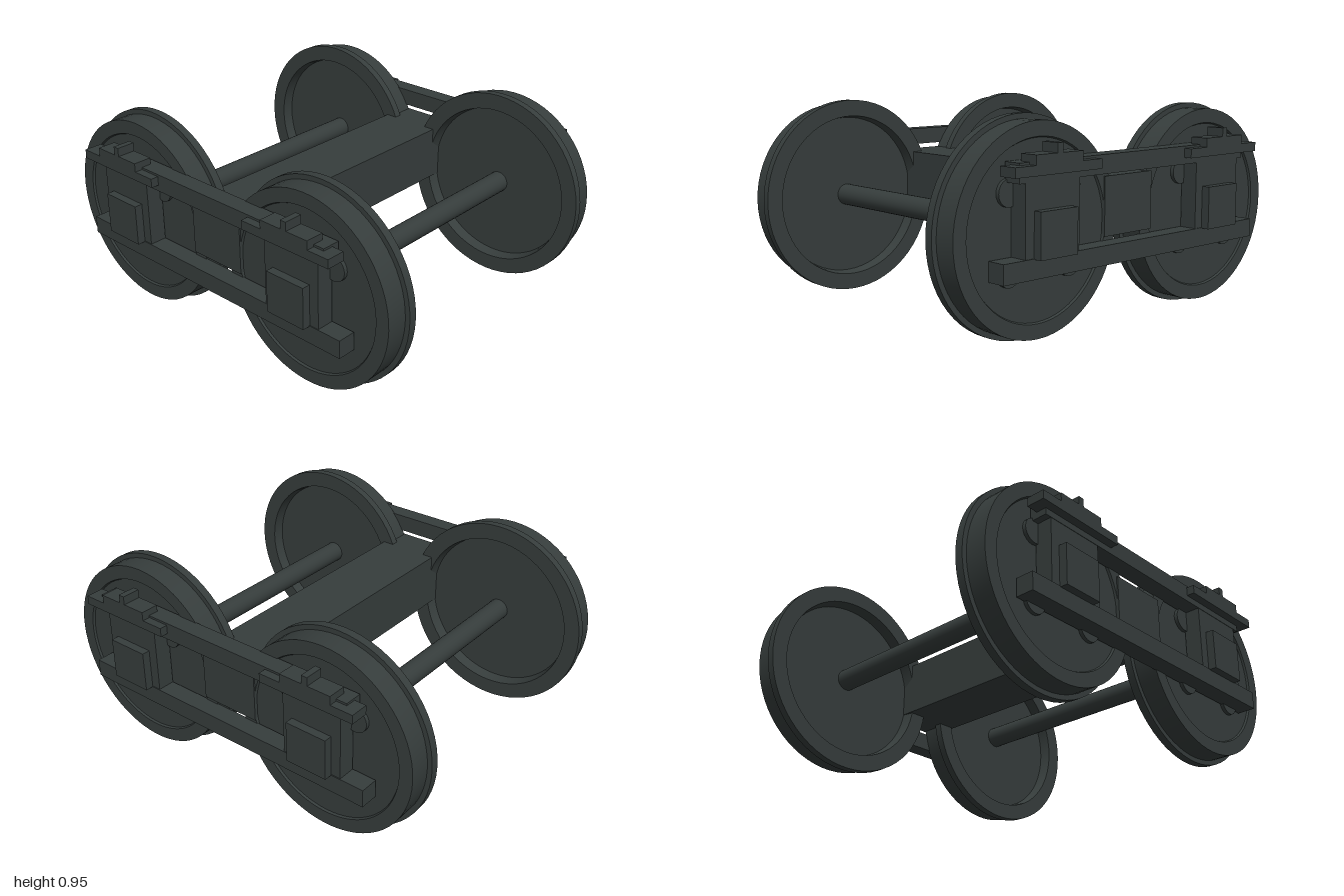
import * as THREE from 'three';
import { toCreasedNormals } from 'three/addons/utils/BufferGeometryUtils.js';

const AXLE_X = 0.527, AXLE_Y = 0.475;

export function createModel() {
  const darkIron = new THREE.MeshStandardMaterial({ color: 0x363d3c });
  const model = new THREE.Group();
  model.name = 'railTruck';

  const add = (parent, name, geometry, x = 0, y = 0, z = 0) => {
    const mesh = new THREE.Mesh(geometry, darkIron);
    mesh.name = name;
    mesh.position.set(x, y, z);
    parent.add(mesh);
    return mesh;
  };
  // Box given by its limits on each axis
  const box = (parent, name, x0, x1, y0, y1, z0, z1) =>
    add(parent, name, new THREE.BoxGeometry(x1 - x0, y1 - y0, z1 - z0),
      (x0 + x1) / 2, (y0 + y1) / 2, (z0 + z1) / 2);

  // Flanged wheel: radius, distance from the truck centre line
  const profile = [
    [0, 0.66], [0.385, 0.66], [0.395, 0.605], [0.473, 0.605], [0.473, 0.643],
    [0.45, 0.643], [0.45, 0.745], [0.385, 0.745], [0.38, 0.735], [0, 0.735],
  ].map(([r, d]) => new THREE.Vector2(r, d));
  const wheelGeometry = toCreasedNormals(
    new THREE.LatheGeometry(profile, 64).rotateX(Math.PI / 2), 0.5);
  const boltGeometry = new THREE.CylinderGeometry(0.058, 0.058, 0.05, 20).rotateX(Math.PI / 2);

  // Axles and the cross beam joining both sides
  for (const s of [-1, 1]) {
    add(model, 'axle', new THREE.CylinderGeometry(0.052, 0.052, 1.36, 24).rotateX(Math.PI / 2),
      s * AXLE_X, AXLE_Y, 0);
  }
  box(model, 'bolster', -0.15, 0.15, 0.405, 0.667, -0.752, 0.752);

  // One side: wheels and frame; the other is the same turned half round
  for (const turn of [0, Math.PI]) {
    const side = new THREE.Group();
    side.name = turn ? 'backSide' : 'frontSide';
    side.rotation.y = turn;
    model.add(side);

    box(side, 'topBar', -0.71, 0.71, 0.69, 0.772, 0.74, 0.825);
    box(side, 'bottomBar', -0.795, 0.795, 0.302, 0.387, 0.74, 0.827);

    for (const s of [-1, 1]) {
      const cx = s * AXLE_X;
      add(side, 'wheel', wheelGeometry, cx, AXLE_Y, 0);
      for (const bx of [-0.168, 0.168]) {
        for (const by of [-0.152, 0.172]) {
          add(side, 'wheelBolt', boltGeometry, cx + bx, AXLE_Y + by, 0.727);
        }
      }
      box(side, 'pedestal', cx - 0.15, cx + 0.15, 0.385, 0.692, 0.74, 0.823);
      box(side, 'journalBox', cx - 0.103, cx + 0.103, 0.383, 0.578, 0.82, 0.862);

      // Stepped clip on the top bar
      box(side, 'clipBase', cx - 0.24, cx + 0.24, 0.72, 0.762, 0.775, 0.863);
      box(side, 'clipStep', cx - 0.13, cx + 0.13, 0.76, 0.803, 0.775, 0.863);
      box(side, 'clipPin', cx - 0.015, cx + 0.015, 0.80, 0.843, 0.775, 0.863);
    }
  }
  return model;
}
